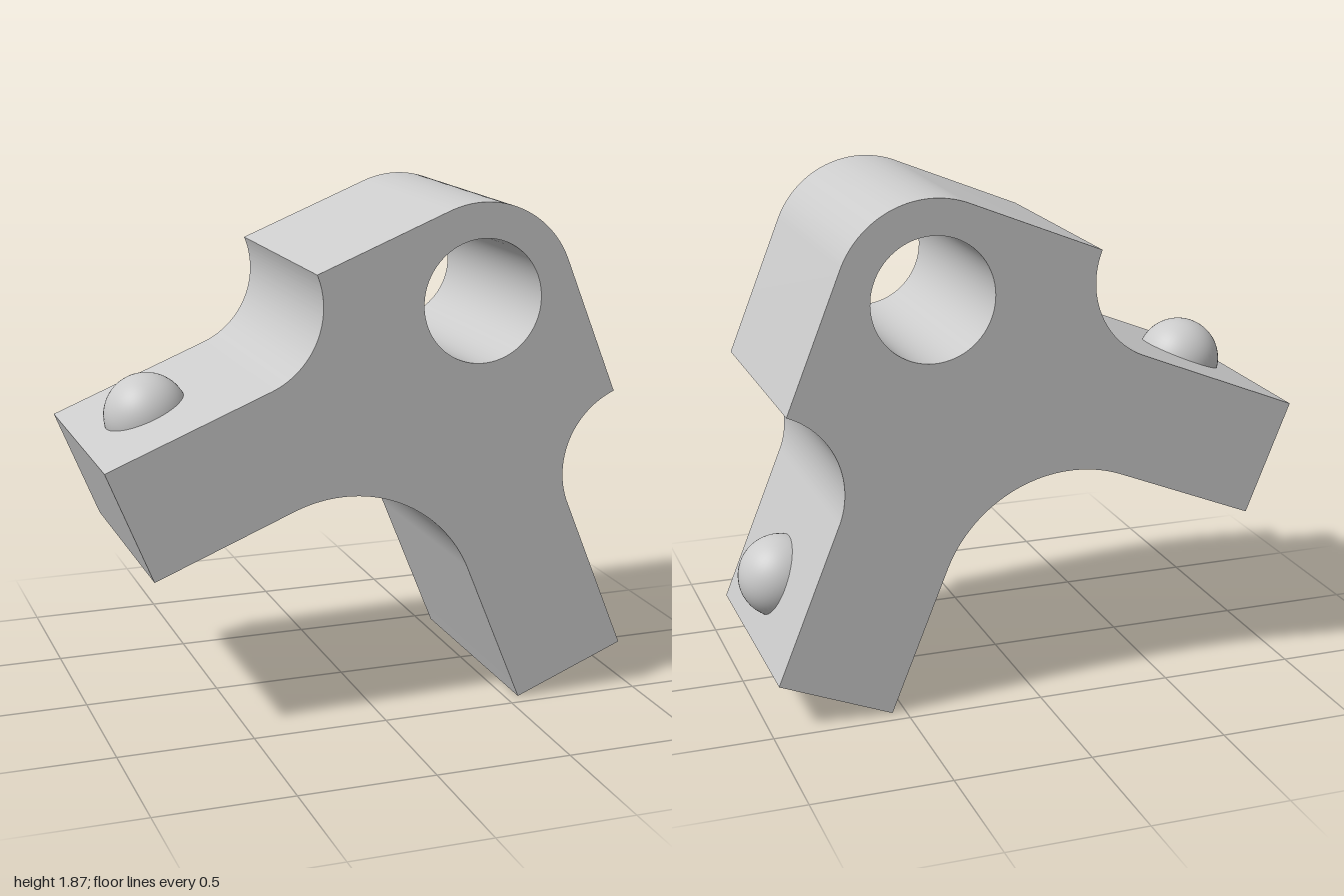
import * as THREE from 'three';
import { toCreasedNormals } from 'three/addons/utils/BufferGeometryUtils.js';

const TILT = THREE.MathUtils.degToRad(22);
const DEPTH = 0.888;

export function createModel() {
  const model = new THREE.Group();
  model.name = 'bracket';
  const material = new THREE.MeshStandardMaterial({ color: 0xcccccc });
  const add = (name, geometry, x, y, z) => {
    const mesh = new THREE.Mesh(geometry, material);
    mesh.name = name;
    mesh.position.set(x, y, z);
    model.add(mesh);
  };

  // Two-armed profile, drawn square to its own axes
  const q = Math.PI / 2;
  const profile = new THREE.Shape();
  profile.moveTo(-0.548, 1.311);
  profile.lineTo(-0.548, 0.874);
  profile.absarc(0, 0.364, 0.51, q, 0, true); // inner fillet
  profile.lineTo(0.51, -0.205);
  profile.lineTo(0.955, -0.205);
  profile.absarc(1.27, 0.415, 0.315, 2 * q, q, true); // outer notch
  profile.absarc(0.92, 1.265, 0.352, 0, q, false); // rounded corner
  profile.absarc(0.089, 1.617, 0.306, 0, -q, true); // upper notch
  profile.closePath();

  // Round hole concentric with the corner
  const hole = new THREE.Path();
  hole.absarc(0.92, 1.265, 0.224, 0, 4 * q, true);
  profile.holes.push(hole);

  const body = new THREE.ExtrudeGeometry(profile, {
    depth: DEPTH, bevelEnabled: false, curveSegments: 40,
  });
  add('body', toCreasedNormals(body, Math.PI / 6), 0, 0, -DEPTH / 2);

  // Ball sunk halfway into each arm
  const ball = new THREE.SphereGeometry(0.155, 48, 32);
  add('armBall', ball, -0.282, 1.291, 0);
  add('legBall', ball, 0.936, 0.06, 0);

  model.rotation.z = TILT;
  const root = new THREE.Group();
  root.name = 'tiltedBracket';
  root.add(model);
  return root;
}
